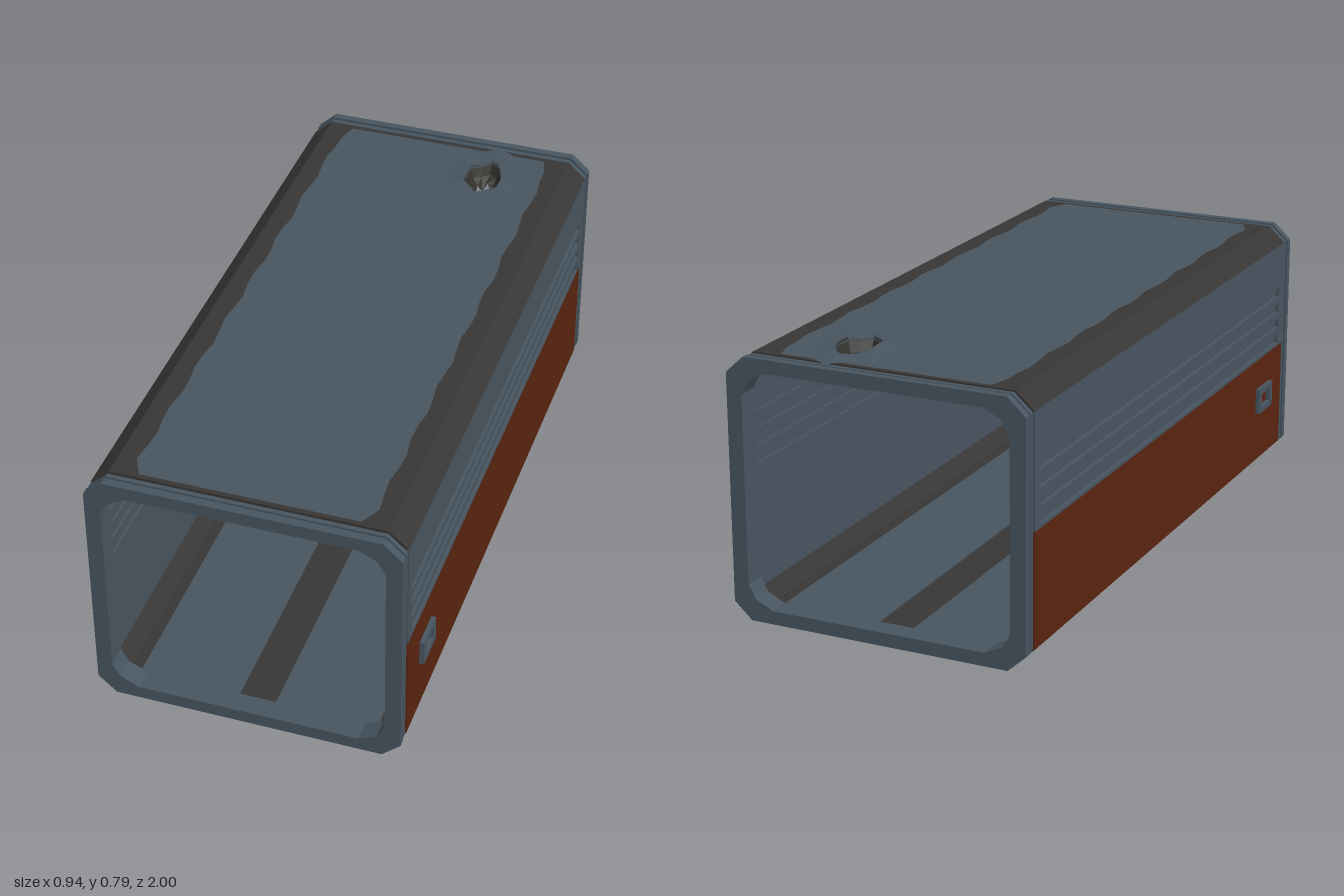
import * as THREE from 'three';

const material = (name, color, side = THREE.FrontSide) => {
  const m = new THREE.MeshStandardMaterial({ color, side });
  m.name = name;
  return m;
};

// Shape from [x, y] points, with optional holes
const shapeOf = (pts, holes = []) => {
  const vec = (list) => list.map(([x, y]) => new THREE.Vector2(x, y));
  const shape = new THREE.Shape(vec(pts));
  holes.forEach((h) => shape.holes.push(new THREE.Path(vec(h))));
  return shape;
};
const rect = (x0, y0, x1, y1) => [[x0, y0], [x1, y0], [x1, y1], [x0, y1]];
const extrude = (shape, depth) => new THREE.ExtrudeGeometry(shape, { depth, bevelEnabled: false });

// Open surface through a series of closed rings
function loft(rings) {
  const n = rings[0].length, pos = [], index = [];
  rings.forEach((r) => r.forEach((p) => pos.push(...p)));
  for (let i = 0; i < rings.length - 1; i++) {
    for (let j = 0; j < n; j++) {
      const a = i * n + j, b = i * n + (j + 1) % n;
      index.push(a, a + n, b, b, a + n, b + n);
    }
  }
  const g = new THREE.BufferGeometry();
  g.setAttribute('position', new THREE.Float32BufferAttribute(pos, 3));
  g.setIndex(index);
  const flat = g.toNonIndexed();
  flat.computeVertexNormals();
  return flat;
}

export function createModel() {
  const model = new THREE.Group();
  model.name = 'cargoTube';
  const slate = material('slate', 0x475560);
  const orange = material('rust orange', 0x5a2410);
  const trim = material('dark trim', 0x383634);
  const torn = material('torn metal', 0x34332f, THREE.DoubleSide);
  const dent = material('dented slate', 0x475560, THREE.DoubleSide);

  const add = (name, geometry, mat, parent = model) => {
    const mesh = new THREE.Mesh(geometry, mat);
    mesh.name = name;
    parent.add(mesh);
    return mesh;
  };
  const box = (name, x0, x1, y0, y1, z0, z1, mat) =>
    add(name, new THREE.BoxGeometry(x1 - x0, y1 - y0, z1 - z0)
      .translate((x0 + x1) / 2, (y0 + y1) / 2, (z0 + z1) / 2), mat);

  const L = 0.945, W = 0.455, H = 0.778;

  // End frames: octagonal rings with a rounded opening, stepped along z
  const octagon = (d) => {
    const w = W - d, c = 0.4 - d * 0.5, k = 0.05 + d * 0.5;
    return [[-c, d], [c, d], [w, k], [w, H - k], [c, H - d], [-c, H - d], [-w, H - k], [-w, k]];
  };
  const quarter = [[0.33, 0.04], [0.385, 0.066], [0.408, 0.108]];
  const half = [...quarter, ...quarter.map(([x, y]) => [x, H - y]).reverse()];
  const opening = [...half, ...half.map(([x, y]) => [-x, y]).reverse()];
  for (const s of [1, -1]) {
    const steps = [['endFlange', 0.976, 1, 0], ['endGroove', 0.966, 0.976, 0.008],
      ['endCollar', 0.952, 0.966, 0.002], ['endNeck', 0.935, 0.952, 0.01]];
    for (const [name, z0, z1, inset] of steps) {
      const g = extrude(shapeOf(octagon(inset), [opening]), z1 - z0);
      g.translate(0, 0, s > 0 ? z0 : -z1);
      add(name, g, slate);
    }
  }

  // Hole in the roof: uneven ellipse
  const hx = 0.165, hz = -0.78, N = 12;
  const wobble = [1, 1.12, 0.92, 1.08, 0.95, 1.1, 0.98, 1.12, 0.9, 1.07, 1, 0.9];
  const holeRing = (scale, y, lift = 0) => wobble.map((w, i) => {
    const a = (i / N) * Math.PI * 2;
    return [hx + Math.cos(a) * 0.056 * w * scale, y + lift * Math.abs(Math.cos(a + 0.4)) * w,
      hz + Math.sin(a) * 0.086 * w * scale];
  });
  const cut = holeRing(1, 0).map(([x, , z]) => [x, -z]);

  // Roof panel with worn, slightly wavy edges set into dark trim
  const edge = [];
  for (let i = 0; i <= 30; i++) {
    const t = -0.93 + (1.86 * i) / 30;
    const corner = i === 0 || i === 30 ? 0.025 : 0;
    edge.push([0.342 + 0.006 * Math.sin(i * 1.7) - corner, t]);
  }
  const panelOutline = [...edge, ...edge.map(([x, y]) => [-x, y]).reverse()];
  const flat = (shape, y) => extrude(shape, 0.012).rotateX(-Math.PI / 2).translate(0, y, 0);
  add('roofPanel', flat(shapeOf(panelOutline, [cut]), H - 0.012), slate);
  add('roofTrim', flat(shapeOf(rect(-0.4, -L, 0.4, L), [panelOutline]), H - 0.012), trim);

  // Torn roof: raised dent, inward flaps and hanging wires
  add('roofDent', loft([holeRing(2, H + 0.0005), holeRing(1.35, H + 0.002, 0.004),
    holeRing(1, H + 0.001, 0.008)]), dent);
  const jagged = holeRing(0.5, 0.71).map(([x, y, z], i) => [x, y + (i % 2 ? 0.018 : -0.008), z]);
  add('tornFlaps', loft([holeRing(1.06, H + 0.002, 0.007), holeRing(0.85, 0.742), jagged]), torn);
  const wires = [[0.135, -0.8, -0.035, 0.682], [0.14, -0.73, -0.012, 0.678],
    [0.185, -0.75, 0.01, 0.685], [0.18, -0.82, 0.012, 0.69]];
  for (const [x, z, dx, y] of wires) {
    const path = new THREE.CatmullRomCurve3([
      new THREE.Vector3(x, 0.73, z), new THREE.Vector3(x + dx * 0.3, 0.71, z + 0.01),
      new THREE.Vector3(x + dx * 0.5, 0.697, z - 0.006), new THREE.Vector3(x + dx, y, z)]);
    add('hangingWire', new THREE.TubeGeometry(path, 10, 0.003, 5), torn);
  }

  // Floor: dark underside, slate boards inside with a dark centre strip
  box('underside', -0.4, 0.4, 0.001, 0.012, -L, L, trim);
  for (const s of [1, -1]) {
    const [a, b] = s > 0 ? [0.055, 0.36] : [-0.36, -0.055];
    box('floorBoard', a, b, 0.012, 0.016, -L, L, slate);
  }

  // Long chamfered corners
  const corner = [[0.4, 0.001], [W, 0.05], [0.439, 0.056], [0.394, 0.013]];
  for (const sx of [1, -1]) {
    for (const top of [false, true]) {
      let pts = corner.map(([x, y]) => [x * sx, top ? H + 0.001 - y : y]);
      add('cornerTrim', extrude(shapeOf(pts), 2 * L).translate(0, 0, -L), trim);
    }
  }

  // Side walls: grooved upper panel, orange lower panel, inner liner, square bracket
  const grooves = [0.4, 0.452, 0.504, 0.556].map((y) => [y, y + 0.03]);
  const upper = shapeOf(rect(-L, 0.39, L, 0.729), grooves.map(([a, b]) => rect(-0.91, a, 0.91, b)));
  const bracket = shapeOf(rect(-0.057, 0.213, 0.057, 0.294), [rect(-0.036, 0.232, 0.036, 0.276)]);
  for (const s of [1, -1]) {
    const wall = new THREE.Group();
    wall.name = s > 0 ? 'leftWall' : 'rightWall';
    wall.rotation.y = (s * Math.PI) / 2;
    model.add(wall);
    const slab = (name, shape, x0, x1, mat) =>
      add(name, extrude(shape, x1 - x0).translate(0, 0, x0), mat, wall);
    slab('groovedPanel', upper, 0.443, W, slate);
    slab('orangePanel', shapeOf(rect(-L, 0.05, L, 0.39)), 0.443, W, orange);
    slab('innerLiner', shapeOf(rect(-L, 0.05, L, 0.729)), 0.437, 0.443, slate);
    for (const [a, b] of grooves) slab('innerRib', shapeOf(rect(-0.91, a, 0.91, b)), 0.43, 0.437, slate);
    slab('sideBracket', bracket, W - 0.002, 0.469, slate).position.x = -s * 0.775;
  }
  return model;
}
